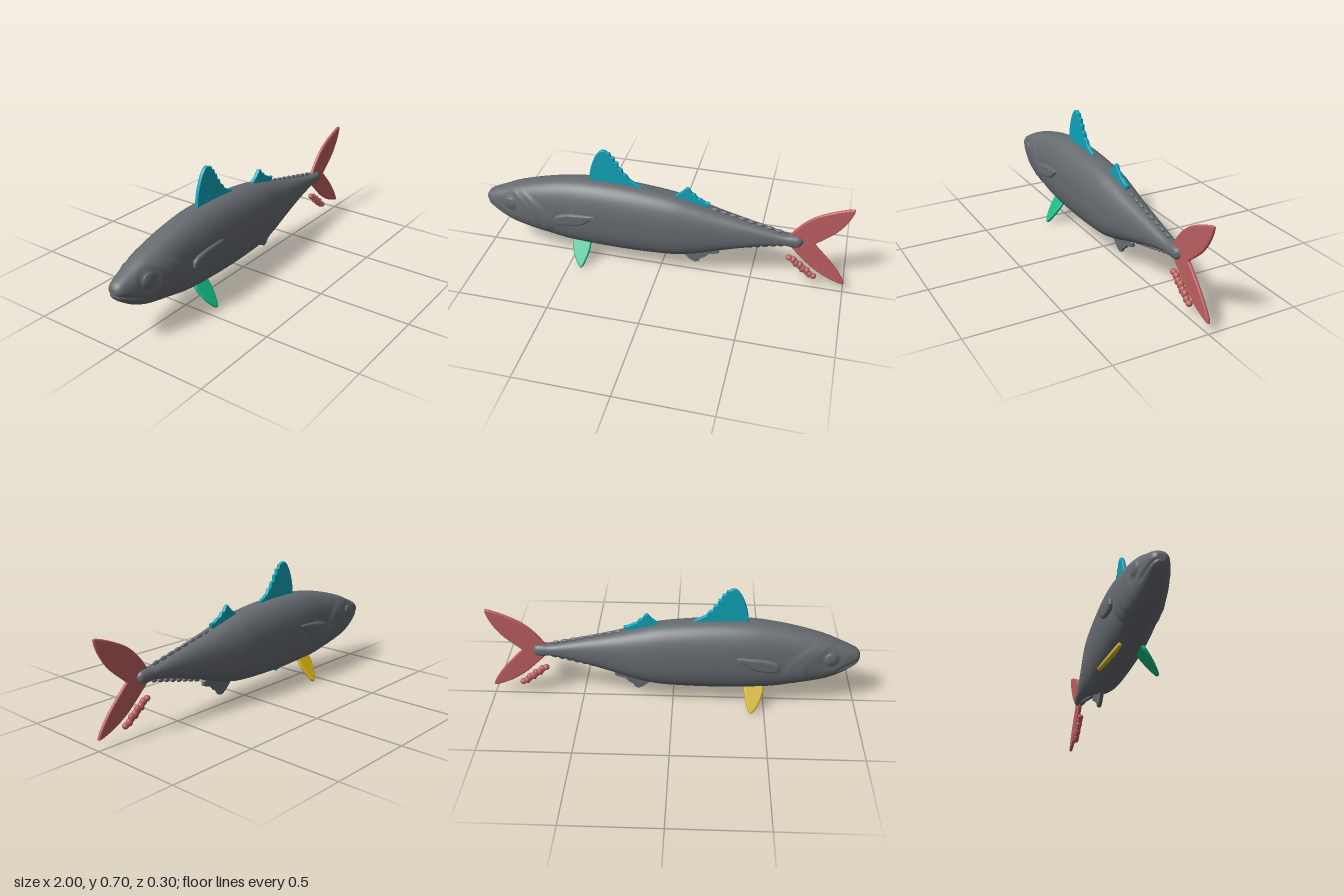
import * as THREE from 'three';

const material = (color) => new THREE.MeshStandardMaterial({ color, side: THREE.DoubleSide });
const grey = material(0x666b70), teal = material(0x0fa3b8), red = material(0xbd5e60);
const green = material(0x12b886), yellow = material(0xcfac0c);

// Body stations: x, top, bottom, half width
const stations = [
  [-1, 0.325, 0.285, 0.022], [-0.985, 0.345, 0.262, 0.04], [-0.95, 0.364, 0.235, 0.054], [-0.9, 0.386, 0.203, 0.068],
  [-0.82, 0.42, 0.17, 0.086], [-0.7, 0.457, 0.146, 0.1], [-0.56, 0.489, 0.116, 0.11],
  [-0.4, 0.508, 0.105, 0.12], [-0.18, 0.505, 0.1, 0.12], [0.05, 0.482, 0.108, 0.113],
  [0.18, 0.452, 0.13, 0.1], [0.33, 0.411, 0.178, 0.079], [0.5, 0.371, 0.229, 0.056],
  [0.65, 0.336, 0.264, 0.038], [0.71, 0.333, 0.262, 0.035], [0.745, 0.328, 0.267, 0.03], [0.763, 0.308, 0.287, 0.012],
];

// Catmull-Rom interpolation between stations
function station(u) {
  const last = stations.length - 1;
  const i = Math.min(Math.floor(u), last - 1), t = u - i;
  const [a, b, c, d] = [i - 1, i, i + 1, i + 2].map((k) => stations[THREE.MathUtils.clamp(k, 0, last)]);
  return b.map((p, k) => p + 0.5 * t * (c[k] - a[k]
    + t * (2 * a[k] - 5 * p + 4 * c[k] - d[k] + t * (3 * (p - c[k]) + d[k] - a[k]))));
}

// Sideways relief of the head: cheek, gill cover edge and mouth line
function relief(x, y) {
  const { smoothstep } = THREE.MathUtils;
  const gill = -0.6 - 6 * (y - 0.25) ** 2, cheek = gill - 0.09;
  const cover = smoothstep(x, -0.85, -0.68) * (1 - smoothstep(x, gill - 0.015, gill + 0.015));
  const ridge = Math.exp(-(((x - cheek) / 0.018) ** 2));
  const mouthY = 0.295 + (x + 1) * -0.4;
  const mouth = Math.exp(-(((y - mouthY) / 0.008) ** 2)) * (1 - smoothstep(x, -0.9, -0.86));
  const socket = Math.exp(-(((Math.hypot(x + 0.84, y - 0.325) - 0.05) / 0.012) ** 2));
  return 0.007 * cover + 0.003 * ridge - 0.008 * mouth - 0.004 * socket;
}

function bodyGeometry() {
  const rings = 200, sides = 72, pos = [], idx = [];
  const power = (v) => Math.sign(v) * Math.abs(v) ** 0.84;
  for (let r = 0; r <= rings; r++) {
    const [x, top, bottom, w] = station((r / rings) * (stations.length - 1));
    for (let s = 0; s < sides; s++) {
      const a = (s / sides) * Math.PI * 2;
      const y = (top + bottom) / 2 + ((top - bottom) / 2) * power(Math.sin(a));
      const side = power(Math.cos(a));
      pos.push(x, y, side * (w + relief(x, y)));
      if (r < rings) {
        const p = r * sides + s, q = r * sides + (s + 1) % sides;
        idx.push(p, q, p + sides, q, q + sides, p + sides);
      }
    }
  }
  // Close the snout and the tail root
  const n = pos.length / 3;
  pos.push(-1, 0.305, 0, 0.766, 0.297, 0);
  for (let s = 0; s < sides; s++) {
    const t = (s + 1) % sides, e = rings * sides;
    idx.push(n, t, s, n + 1, e + s, e + t);
  }
  const g = new THREE.BufferGeometry();
  g.setAttribute('position', new THREE.Float32BufferAttribute(pos, 3));
  // Wind all faces outward
  for (let i = 0; i < idx.length; i += 3) [idx[i + 1], idx[i + 2]] = [idx[i + 2], idx[i + 1]];
  g.setIndex(idx);
  g.computeVertexNormals();
  return g;
}

// Flat fin with rounded rim, centred on z = 0
function finGeometry(points, thick = 0.02, rim = 0.008) {
  const shape = new THREE.Shape(points.map(([x, y]) => new THREE.Vector2(x, y)));
  const bevel = thick * 0.4, depth = thick - 2 * bevel;
  const g = new THREE.ExtrudeGeometry(shape, {
    depth, bevelThickness: bevel, bevelSize: rim, bevelOffset: -rim, bevelSegments: 3, steps: 1,
  });
  return g.translate(0, 0, -depth / 2);
}

// Smooth outline through a few points
const smooth = (pts, n = 40) => new THREE.SplineCurve(pts.map(([x, y]) => new THREE.Vector2(x, y)))
  .getPoints(n).map((p) => [p.x, p.y]);

export function createModel() {
  const model = new THREE.Group();
  const add = (name, geometry, mat, parent = model) => {
    const mesh = new THREE.Mesh(geometry, mat);
    mesh.name = name;
    parent.add(mesh);
    return mesh;
  };

  add('body', bodyGeometry(), grey);

  // Front dorsal fin with a stepped trailing edge
  add('frontDorsalFin', finGeometry([
    ...smooth([[-0.4, 0.49], [-0.39, 0.57], [-0.365, 0.645], [-0.335, 0.69], [-0.31, 0.7], [-0.29, 0.69]], 16),
    [-0.278, 0.69], [-0.272, 0.668], [-0.255, 0.665], [-0.252, 0.64], [-0.235, 0.635], [-0.233, 0.605],
    [-0.212, 0.598], [-0.208, 0.572], [-0.19, 0.565], [-0.175, 0.54], [-0.145, 0.522], [-0.11, 0.505], [-0.12, 0.485],
  ], 0.02, 0.004), teal);

  add('rearDorsalFin', finGeometry([
    [0.07, 0.465], [0.075, 0.484], [0.105, 0.505], [0.135, 0.538], [0.148, 0.536], [0.165, 0.508], [0.18, 0.505],
    [0.195, 0.483], [0.215, 0.478], [0.235, 0.464], [0.263, 0.46], [0.258, 0.44], [0.22, 0.42], [0.1, 0.44],
  ], 0.02, 0.004), teal);

  add('analFin', finGeometry([
    [0.09, 0.14], [0.125, 0.105], [0.16, 0.07], [0.19, 0.055], [0.21, 0.063], [0.225, 0.088], [0.245, 0.098],
    [0.265, 0.122], [0.295, 0.13], [0.322, 0.14], [0.32, 0.162], [0.28, 0.19], [0.14, 0.17],
  ], 0.02, 0.004), grey);

  // Forked tail, upper and lower lobes
  add('tailFin', finGeometry([
    ...smooth([[0.68, 0.315], [0.74, 0.4], [0.81, 0.465], [0.9, 0.512], [0.985, 0.542], [1, 0.53], [0.975, 0.46],
      [0.92, 0.38], [0.825, 0.296]], 36),
    ...smooth([[0.825, 0.292], [0.92, 0.19], [0.975, 0.115], [1, 0.065], [0.985, 0.055], [0.9, 0.088], [0.82, 0.14],
      [0.75, 0.205], [0.68, 0.275]], 36),
  ], 0.018, 0.008), red);

  // Finlets along the tail stalk, raked backward
  const finlets = new THREE.Group();
  finlets.name = 'finlets';
  model.add(finlets);
  const finletGeometry = new THREE.SphereGeometry(1, 16, 10);
  for (let i = 0; i < 8; i++) {
    const x = 0.29 + i * 0.049, bx = 0.36 + i * 0.041;
    const upper = add('upperFinlet', finletGeometry, grey, finlets);
    upper.position.set(x, 0.424 - 0.228 * (x - 0.28), 0);
    upper.rotation.z = -0.05;
    upper.scale.set(0.022, 0.011, 0.01);
    const lower = add('lowerFinlet', finletGeometry, grey, finlets);
    lower.position.set(bx, 0.186 + 0.25 * (bx - 0.36), 0);
    lower.rotation.z = 0.05;
    lower.scale.set(0.019, 0.011, 0.01);
  }

  // Loose knobbly strip below the tail
  const strip = new THREE.Group();
  strip.name = 'lowerTailStrip';
  strip.position.set(0.768, 0.128, 0);
  strip.rotation.z = -0.67;
  model.add(strip);
  for (let i = 0; i < 8; i++) {
    const t = i / 7 - 0.5;
    const knob = add('stripKnob', finletGeometry, red, strip);
    knob.position.set(t * 0.17, 0.003 * (i % 2 ? 1 : -1), 0);
    knob.rotation.z = 0.5;
    knob.scale.set(0.018, 0.024 - 0.03 * t * t, 0.017);
  }

  // Paired parts
  const pectoral = finGeometry(smooth([[-0.57, 0.285], [-0.56, 0.318], [-0.5, 0.338], [-0.4, 0.348], [-0.34, 0.345],
    [-0.375, 0.31], [-0.43, 0.275], [-0.5, 0.263], [-0.555, 0.262]]), 0.026, 0.016);
  const pelvic = finGeometry(smooth([[-0.485, 0.03], [-0.495, -0.02], [-0.475, -0.09], [-0.445, -0.14], [-0.425, -0.152],
    [-0.41, -0.125], [-0.393, -0.06], [-0.39, -0.01], [-0.4, 0.03]]), 0.02, 0.008);
  for (const [side, s, mat] of [['left', 1, green], ['right', -1, yellow]]) {
    const eye = add(side + 'Eye', new THREE.SphereGeometry(0.04, 24, 16), grey);
    eye.position.set(-0.84, 0.325, s * 0.076);
    eye.rotation.y = s * -0.16;
    eye.scale.z = 0.32;
    const fin = add(side + 'PectoralFin', pectoral, grey);
    fin.position.z = s * 0.118;
    const lower = add(side + 'PelvicFin', pelvic, mat);
    lower.position.set(0, 0.123, s * 0.053);
    lower.rotation.x = s * -0.66;
  }
  return model;
}
